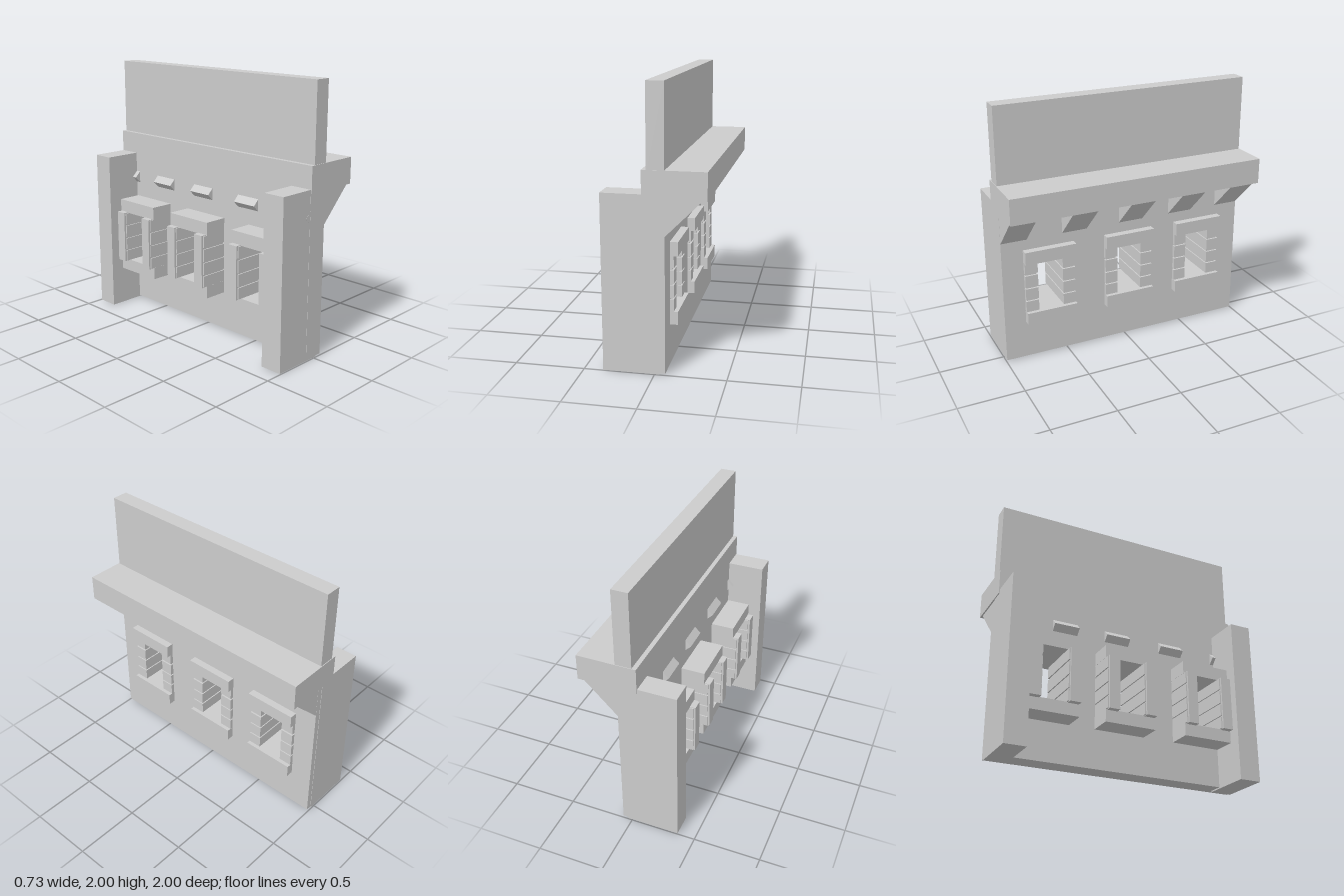
import * as THREE from 'three';

const material = new THREE.MeshStandardMaterial({ color: 0xcccccc, flatShading: true });

// Box given by its lower and upper corner on each axis
function box(name, [x0, x1], [y0, y1], [z0, z1]) {
  const mesh = new THREE.Mesh(new THREE.BoxGeometry(x1 - x0, y1 - y0, z1 - z0), material);
  mesh.position.set((x0 + x1) / 2, (y0 + y1) / 2, (z0 + z1) / 2);
  mesh.name = name;
  return mesh;
}

function rectangle(Type, a0, a1, b0, b1) {
  return new Type([[a0, b0], [a1, b0], [a1, b1], [a0, b1]].map(p => new THREE.Vector2(...p)));
}

const windowCentres = [0.63, -0.02, -0.62];
const corbelCentres = [0.895, 0.42, -0.045, -0.47, -0.89];

// Wall slab, drawn in (-z, y) and extruded along x, with window openings
function createWall() {
  const shape = rectangle(THREE.Shape, -0.995, 0.99, 0.01, 1.24);
  for (const z of windowCentres) {
    shape.holes.push(rectangle(THREE.Path, -z - 0.15, -z + 0.15, 0.39, 0.81));
  }
  const geometry = new THREE.ExtrudeGeometry(shape, { depth: 0.155, bevelEnabled: false });
  geometry.rotateY(Math.PI / 2);
  const wall = new THREE.Mesh(geometry, material);
  wall.position.x = -0.08;
  wall.name = 'wall';
  return wall;
}

// Deep window surround: lintel, sill and block-built jambs around a thin core
function createWindow(z) {
  const group = new THREE.Group();
  group.name = 'windowSurround';
  const across = [z - 0.2, z + 0.2];
  group.add(box('lintel', [-0.265, 0.132], [0.8, 0.9], across));
  group.add(box('sill', [-0.265, 0.132], [0.305, 0.4], across));
  for (const side of [-1, 1]) {
    const c = z + side * 0.149;
    group.add(box('jambCore', [-0.31, 0.087], [0.395, 0.805], [c - 0.041, c + 0.041]));
    for (const [y0, y1] of [[0.4, 0.487], [0.498, 0.59], [0.6, 0.697], [0.712, 0.8]]) {
      group.add(box('jambBlock', [-0.295, 0.102], [y0, y1], [c - 0.05, c + 0.05]));
    }
  }
  return group;
}

// Square beam tilted 45 degrees, poking through the wall under the ledge
function createCorbel(z) {
  const length = 0.48, thickness = 0.2;
  const geometry = new THREE.BoxGeometry(length, thickness, 0.198);
  geometry.translate(length / 2, thickness / 2, 0);
  const corbel = new THREE.Mesh(geometry, material);
  corbel.rotation.z = Math.PI / 4;
  corbel.position.set(0.016, 0.921, z);
  corbel.name = 'corbel';
  return corbel;
}

export function createModel() {
  const model = new THREE.Group();
  model.name = 'battlementWall';
  model.add(createWall());
  model.add(box('ledge', [-0.08, 0.36], [1.23, 1.425], [-1, 1]));
  model.add(box('parapet', [-0.047, 0.075], [1.4, 2], [-0.995, 0.995]));

  // End buttresses behind the wall
  model.add(box('buttressLeft', [-0.365, 0.033], [0, 1.26], [0.825, 0.993]));
  model.add(box('buttressRight', [-0.365, 0.033], [0, 1.26], [-0.993, -0.83]));

  for (const z of windowCentres) model.add(createWindow(z));
  for (const z of corbelCentres) model.add(createCorbel(z));
  return model;
}
